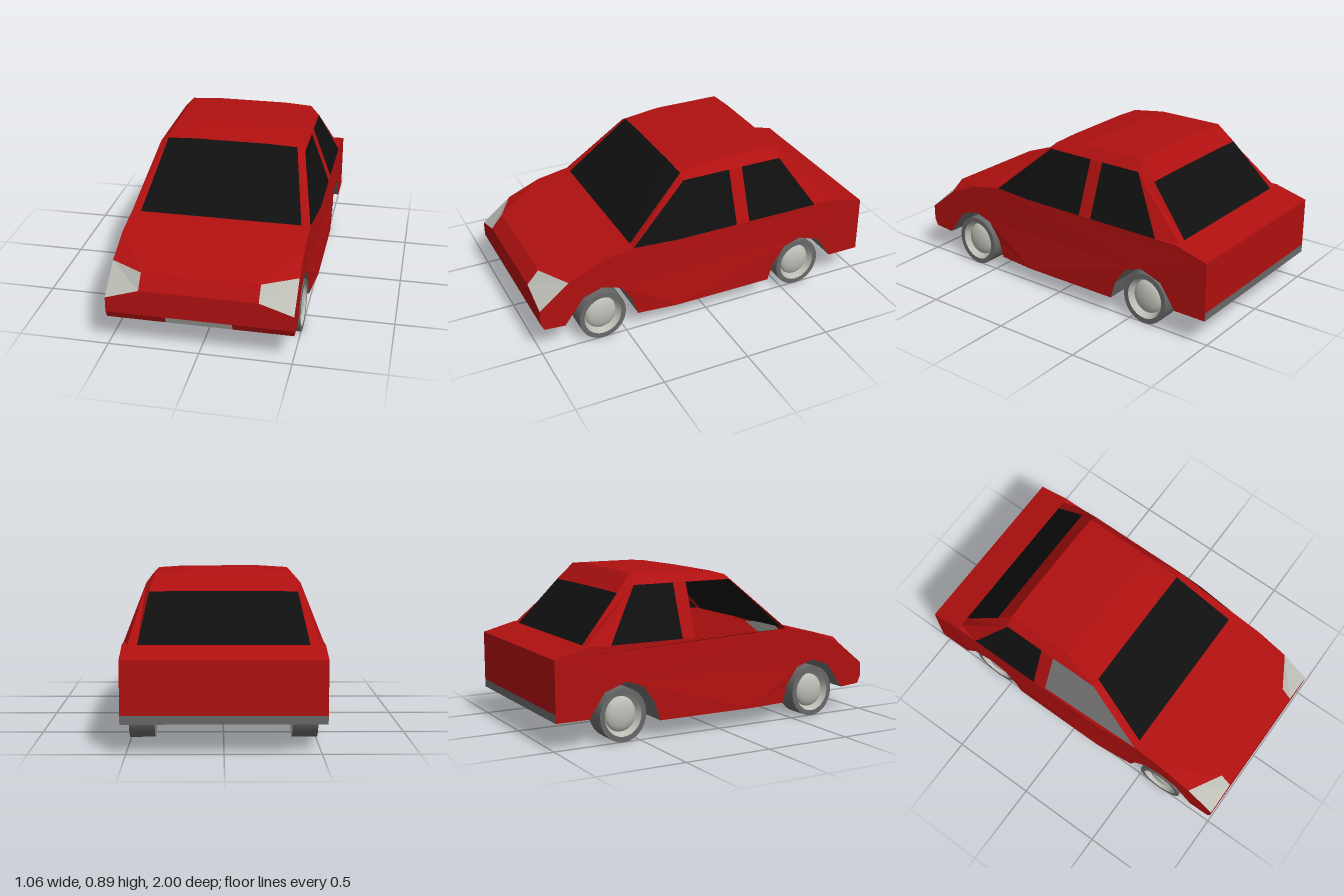
import * as THREE from 'three';

const mat = (name, color) => new THREE.MeshStandardMaterial({ name, color, side: THREE.DoubleSide });

export function createModel() {
  const car = new THREE.Group();
  car.name = 'car';
  const red = mat('redPaint', 0xb01010);
  const glass = mat('blackGlass', 0x101010);
  const grey = mat('darkGrey', 0x686868);
  const light = mat('lightGrey', 0xbcbdb5);

  // Flat-faceted mesh from convex polygons
  function panel(name, material, ...polys) {
    const pos = [];
    for (const p of polys)
      for (let i = 1; i < p.length - 1; i++) pos.push(...p[0], ...p[i], ...p[i + 1]);
    const g = new THREE.BufferGeometry();
    g.setAttribute('position', new THREE.Float32BufferAttribute(pos, 3));
    g.computeVertexNormals();
    const m = new THREE.Mesh(g, material);
    m.name = name;
    car.add(m);
  }
  const mirror = p => p.map(([x, y, z]) => [-x, y, z]);
  const both = (...polys) => [...polys, ...polys.map(mirror)];
  // Strip across the car between two [halfWidth, y, z] edges
  const across = (a, b) => [a, [-a[0], a[1], a[2]], [-b[0], b[1], b[2]], b];

  // Half width of the body along its length
  const halfWidth = z => 0.53 - 0.025 * THREE.MathUtils.clamp((z - 0.2) / 0.25, 0, 1);

  // Lower edge with the two wheel arches, front to back, as [z, y]
  const lower = [[0.98, 0.16], [0.86, 0.15], [0.75, 0.3], [0.64, 0.335], [0.53, 0.3], [0.46, 0.2],
    [0.43, 0.1], [0.2, 0.1], [-0.39, 0.1], [-0.42, 0.2], [-0.49, 0.3], [-0.59, 0.335],
    [-0.72, 0.29], [-0.81, 0.155], [-1, 0.155]];
  const upper = [[-1, 0.485], [-0.81, 0.535], [-0.68, 0.535], [0.2, 0.535], [0.45, 0.535],
    [0.64, 0.5], [0.83, 0.42], [1, 0.285], [1, 0.2]];

  // Side panels
  for (const s of [1, -1]) {
    const outline = [...lower, ...upper].map(p => new THREE.Vector2(...p));
    const g = new THREE.ShapeGeometry(new THREE.Shape(outline)).toNonIndexed();
    const p = g.attributes.position;
    for (let i = 0; i < p.count; i++) {
      const z = p.getX(i);
      p.setXYZ(i, s * halfWidth(z), p.getY(i), z);
    }
    g.computeVertexNormals();
    const m = new THREE.Mesh(g, red);
    m.name = s > 0 ? 'leftSidePanel' : 'rightSidePanel';
    car.add(m);
  }

  // Underbody with wheel tunnels, and the rear sill strip
  const edge = ([z, y]) => [halfWidth(z), y, z];
  panel('underbody', grey, ...lower.slice(1).map((p, i) => across(edge(lower[i]), edge(p))));
  panel('rearSill', grey, across([0.53, 0.155, -1], [0.53, 0.2, -1]));

  // Nose, headlights and plate
  const W = 0.505, H = 0.32;
  panel('nose', red,
    [[-W, 0.2, 1], [W, 0.2, 1], [W, 0.285, 1], [H, 0.345, 1], [-H, 0.345, 1], [-W, 0.285, 1]],
    across([H, 0.345, 1], [H, 0.42, 0.935]),
    ...both([[0.18, 0.2, 1], [W, 0.2, 1], [W, 0.16, 0.98], [0.18, 0.16, 0.98]]));
  panel('frontPlate', light, across([0.18, 0.2, 1], [0.18, 0.16, 0.98]));
  panel('headlights', light,
    ...both([[W, 0.42, 0.83], [H, 0.42, 0.935], [H, 0.345, 1], [W, 0.285, 1]]));

  // Hood, boot lid and tail
  panel('hood', red,
    across([W, 0.535, 0.45], [W, 0.5, 0.64]),
    across([H, 0.5, 0.64], [H, 0.42, 0.935]),
    ...both([[W, 0.5, 0.64], [H, 0.5, 0.64], [H, 0.42, 0.935], [W, 0.42, 0.83]]));
  panel('bootLid', red, across([0.53, 0.535, -0.81], [0.53, 0.485, -1]));
  panel('tail', red, across([0.53, 0.485, -1], [0.53, 0.2, -1]));

  // Roof: cross-sections from windscreen header to rear header
  const sections = [
    [[0.42, 0.83, 0.11], [0.375, 0.853, 0.11], [0.21, 0.86, 0.11]],
    [[0.42, 0.83, -0.1], [0.37, 0.885, -0.1], [0.21, 0.895, -0.1]],
    [[0.42, 0.83, -0.49], [0.37, 0.885, -0.49], [0.21, 0.895, -0.49]],
    [[0.42, 0.83, -0.49], [0.4, 0.79, -0.58], [0.21, 0.793, -0.58]],
  ];
  const roof = [];
  for (let i = 0; i < 3; i++) {
    const a = sections[i], b = sections[i + 1];
    roof.push(across(a[2], b[2]));
    for (let j = 0; j < 2; j++) roof.push(...both([a[j], a[j + 1], b[j + 1], b[j]]));
  }
  panel('roof', red, ...roof);

  // Pillars
  const frontTop = [0.42, 0.83, 0.11], rearTop = [0.42, 0.83, -0.49];
  panel('windscreenPillars', red,
    ...both([[W, 0.535, 0.45], [0.455, 0.535, 0.45], [0.375, 0.853, 0.11], frontTop]));
  panel('doorPillars', red,
    ...both([[0.53, 0.535, -0.17], [0.42, 0.83, -0.17], [0.42, 0.83, -0.25], [0.53, 0.535, -0.25]]));
  panel('rearPillars', red, ...both(
    [rearTop, [0.53, 0.535, -0.68], [0.5, 0.535, -0.81]],
    [rearTop, [0.5, 0.535, -0.81], [0.45, 0.535, -0.81], [0.4, 0.79, -0.58]],
    [[0.53, 0.535, -0.68], [0.53, 0.535, -0.81], [0.5, 0.535, -0.81]]));

  // Glass; the right front window is open
  panel('windscreen', glass,
    [[0.455, 0.535, 0.45], [0.375, 0.853, 0.11], [0.21, 0.86, 0.11],
      [-0.21, 0.86, 0.11], [-0.375, 0.853, 0.11], [-0.455, 0.535, 0.45]]);
  panel('rearWindow', glass,
    [[0.45, 0.535, -0.81], [0.4, 0.79, -0.58], [0.21, 0.793, -0.58],
      [-0.21, 0.793, -0.58], [-0.4, 0.79, -0.58], [-0.45, 0.535, -0.81]]);
  panel('leftFrontWindow', glass,
    [frontTop, [W, 0.535, 0.45], [0.53, 0.535, 0.2], [0.53, 0.535, -0.17], [0.42, 0.83, -0.17]]);
  panel('rearSideWindows', glass,
    ...both([[0.53, 0.535, -0.25], [0.42, 0.83, -0.25], rearTop, [0.53, 0.535, -0.68]]));

  // Wheels: open-backed tyre, rim ring and domed hubcap
  const lathe = (name, material, profile) => {
    const g = new THREE.LatheGeometry(profile.map(p => new THREE.Vector2(...p)), 28);
    const m = new THREE.Mesh(g.rotateZ(-Math.PI / 2), material);
    m.name = name;
    return m;
  };
  const dome = [];
  for (let i = 0; i <= 6; i++) {
    const a = (i / 6) * Math.PI / 2;
    dome.push([0.098 * Math.cos(a), 0.465 + 0.038 * Math.sin(a)]);
  }
  for (const s of [1, -1]) for (const z of [0.64, -0.6]) {
    const wheel = new THREE.Group();
    wheel.name = (z > 0 ? 'front' : 'rear') + (s > 0 ? 'Left' : 'Right') + 'Wheel';
    wheel.add(
      lathe('tyreTread', grey, [[0.148, 0.368], [0.148, 0.505]]),
      lathe('tyreWall', grey, [[0.148, 0.505], [0.118, 0.505]]),
      lathe('rim', light, [[0.118, 0.505], [0.098, 0.465]]),
      lathe('hubcap', light, dome));
    wheel.position.set(0, 0.148, z);
    wheel.rotation.y = s > 0 ? 0 : Math.PI;
    wheel.scale.z = 0.93;
    car.add(wheel);
  }
  return car;
}
